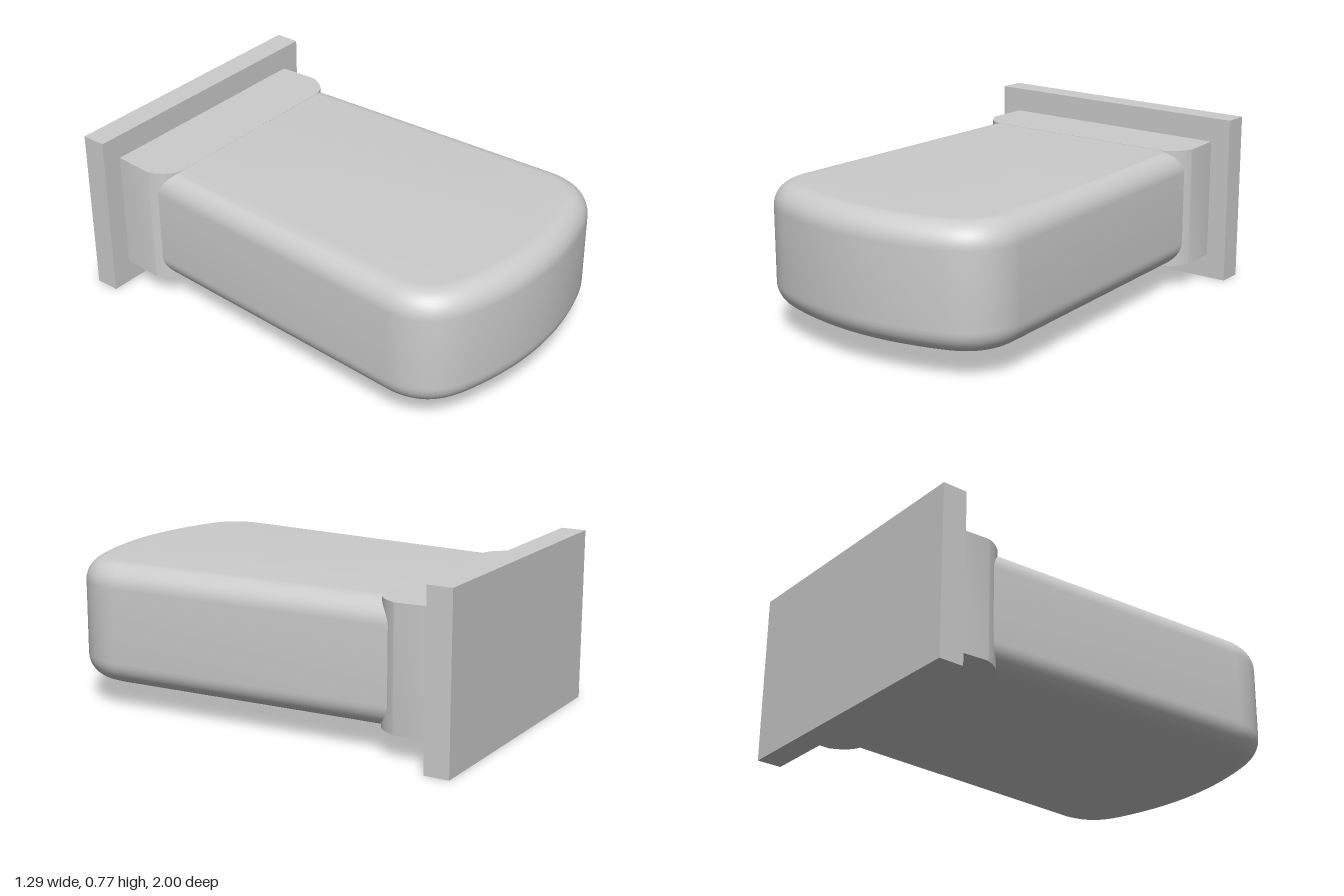
import * as THREE from 'three';
import { toCreasedNormals } from 'three/addons/utils/BufferGeometryUtils.js';

const material = new THREE.MeshStandardMaterial({ color: 0xcccccc });
const BOTTOM = 0.112, TOP = 0.655;

// Extrude a plan outline (x, z) vertically from y0 to y1, with rounded top and bottom edges
function planExtrude(name, shape, y0, y1, radius = 0) {
  const raw = new THREE.ExtrudeGeometry(shape, {
    depth: y1 - y0 - 2 * radius,
    bevelEnabled: radius > 0,
    bevelThickness: radius,
    bevelSize: radius,
    bevelOffset: -radius,
    bevelSegments: 10,
    curveSegments: 16,
  });
  raw.rotateX(Math.PI / 2).translate(0, y1 - radius, 0);
  const mesh = new THREE.Mesh(toCreasedNormals(raw, 0.5), material);
  mesh.name = name;
  return mesh;
}

export function createModel() {
  const group = new THREE.Group();
  group.name = 'wallMountedBlock';

  // Flat rectangular plate at the back
  const plate = new THREE.Mesh(new THREE.BoxGeometry(1.294, 0.767, 0.112), material);
  plate.name = 'backPlate';
  plate.position.set(0, 0.3835, -0.944);
  group.add(plate);

  // Soft-edged body, widening towards a bowed front
  const body = new THREE.Shape();
  body.moveTo(-0.54, -0.8);
  body.lineTo(0.54, -0.8);
  body.lineTo(0.615, 0.66);
  body.bezierCurveTo(0.612, 0.8, 0.54, 0.883, 0.42, 0.925);
  body.quadraticCurveTo(0.21, 0.997, 0, 0.997);
  body.quadraticCurveTo(-0.21, 0.997, -0.42, 0.925);
  body.bezierCurveTo(-0.54, 0.883, -0.612, 0.8, -0.615, 0.66);
  body.closePath();
  group.add(planExtrude('body', body, BOTTOM, TOP, 0.105));

  // Square-edged collar joining body and plate, its front corners curving into the body
  const collar = new THREE.Shape();
  collar.moveTo(-0.552, -0.9);
  collar.lineTo(0.552, -0.9);
  collar.lineTo(0.564, -0.705);
  collar.bezierCurveTo(0.55, -0.665, 0.52, -0.61, 0.46, -0.598);
  collar.lineTo(-0.46, -0.598);
  collar.bezierCurveTo(-0.52, -0.61, -0.55, -0.665, -0.564, -0.705);
  collar.closePath();
  group.add(planExtrude('collar', collar, BOTTOM - 0.001, TOP + 0.001));

  return group;
}
